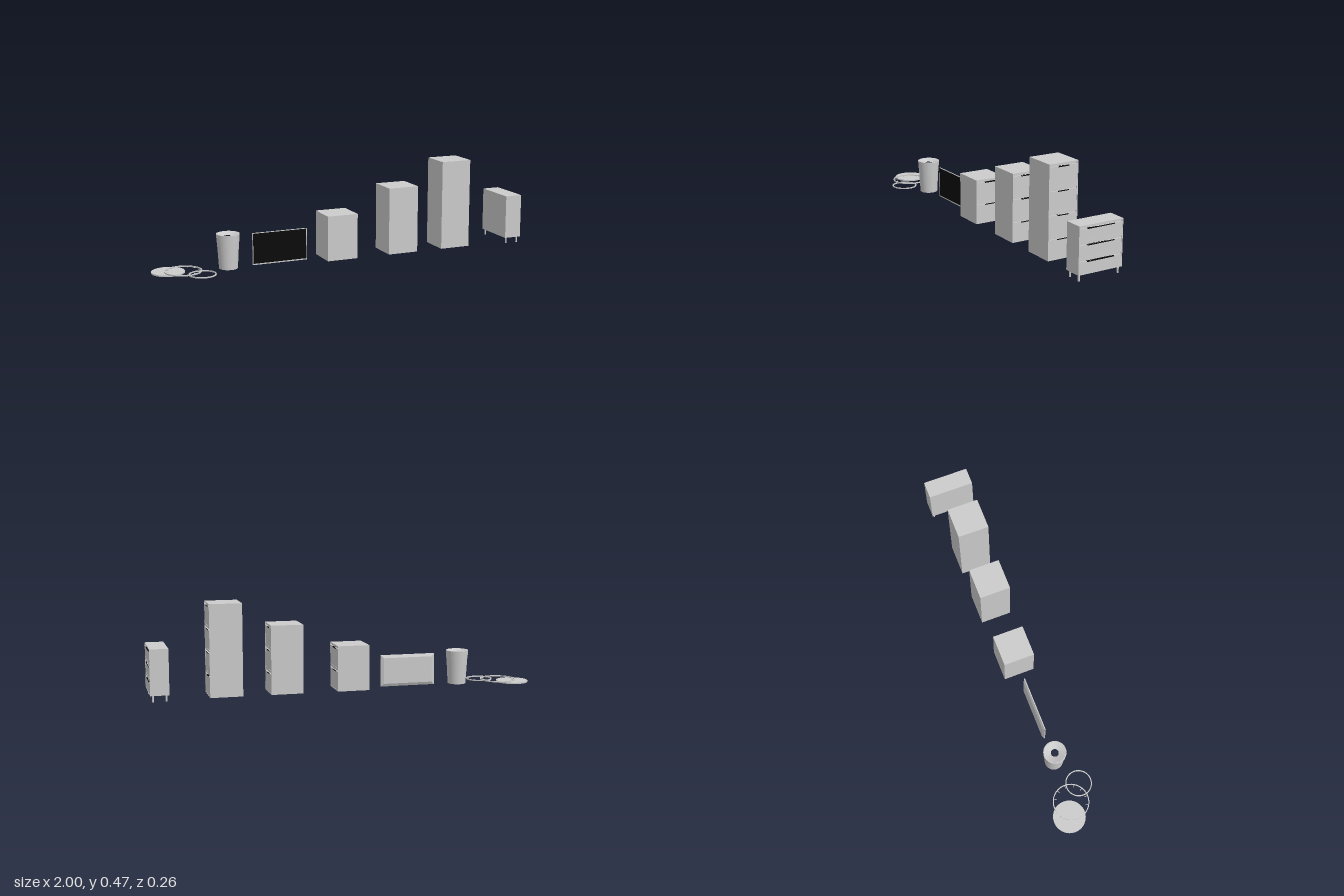
import * as THREE from 'three';

const grey = new THREE.MeshStandardMaterial({ color: 0xcccccc });
const black = new THREE.MeshStandardMaterial({ color: 0x0a0a0a });

function add(parent, name, geometry, x = 0, y = 0, z = 0, material = grey) {
  const mesh = new THREE.Mesh(geometry, material);
  mesh.name = name;
  mesh.position.set(x, y, z);
  parent.add(mesh);
  return mesh;
}

// Box given by its minimum and maximum corners
function block(parent, name, a, b, material = grey) {
  const size = b.map((v, i) => v - a[i]);
  const mid = b.map((v, i) => (v + a[i]) / 2);
  return add(parent, name, new THREE.BoxGeometry(...size), ...mid, material);
}

function rectangle(Type, x0, y0, x1, y1) {
  const p = new Type();
  p.moveTo(x0, y0).lineTo(x1, y0).lineTo(x1, y1).lineTo(x0, y1).closePath();
  return p;
}

// Drawer unit whose drawers face +x
function drawerUnit(name, o) {
  const g = new THREE.Group();
  g.name = name;
  const { x0, x1, z0, z1, y0, y1 } = o;
  const depth = 0.008, m = 0.005, xf = x1 - depth, mid = (z0 + z1) / 2;
  const floor = y0 + (o.skirt || 0);
  block(g, 'body', [x0, floor, z0], [xf, y1, z1]);
  if (o.skirt) {
    // Low walls around the recessed underside
    block(g, 'leftSkirt', [x0, y0, z1 - m], [xf, floor, z1]);
    block(g, 'rightSkirt', [x0, y0, z0], [xf, floor, z0 + m]);
    block(g, 'backSkirt', [x0, y0, z0 + m], [x0 + m, floor, z1 - m]);
  }
  // Face frame with one opening per drawer
  const frame = rectangle(THREE.Shape, -z1, y0, -z0, y1);
  for (let i = 0; i < o.count; i++) {
    const b = o.first + i * o.pitch, t = b + o.drawer;
    frame.holes.push(rectangle(THREE.Path, -z1 + m, b, -z0 - m, t));
    // Drawer front stops short of the opening, leaving a finger gap above it
    block(g, 'drawerFront', [xf, b, z0 + m], [x1 - 0.001, t - 0.009, z1 - m]);
    block(g, 'handle', [xf, t - 0.014, mid - o.handle / 2], [x1 - 0.0004, t - 0.009, mid + o.handle / 2], black);
  }
  const geo = new THREE.ExtrudeGeometry(frame, { depth, bevelEnabled: false });
  add(g, 'faceFrame', geo.rotateY(Math.PI / 2), xf);
  return g;
}

function chest() {
  const g = drawerUnit('chestOfDrawers', {
    x0: 0.907, x1: 1, z0: -0.13, z1: 0.111, y0: 0.032, y1: 0.261,
    count: 3, first: 0.036, pitch: 0.077, drawer: 0.066, handle: 0.15,
  });
  for (const x of [0.92, 0.986])
    for (const z of [-0.118, 0.098])
      add(g, 'leg', new THREE.CylinderGeometry(0.0048, 0.0048, 0.034, 16), x, 0.017, z);
  return g;
}

// Flat screen with a bevelled back
function screen() {
  const g = new THREE.Group();
  g.name = 'flatScreen';
  const w = 0.292, h = 0.165;
  const back = new THREE.BoxGeometry(w, h, 0.008).toNonIndexed();
  const p = back.attributes.position;
  for (let i = 0; i < p.count; i++)
    if (p.getZ(i) < 0) p.setXY(i, p.getX(i) * (1 - 0.03 / w), p.getY(i) * (1 - 0.03 / h));
  back.computeVertexNormals();
  add(g, 'backShell', back, 0, h / 2, -0.004);
  const bezel = rectangle(THREE.Shape, -w / 2, 0, w / 2, h);
  bezel.holes.push(rectangle(THREE.Path, -w / 2 + 0.003, 0.006, w / 2 - 0.003, h - 0.003));
  add(g, 'bezel', new THREE.ExtrudeGeometry(bezel, { depth: 0.005, bevelEnabled: false }));
  block(g, 'panel', [-w / 2 + 0.003, 0.006, 0], [w / 2 - 0.003, h - 0.003, 0.004], black);
  g.position.set(-0.343, 0, -0.016);
  return g;
}

function lathe(points, segments = 48) {
  return new THREE.LatheGeometry(points.map(q => new THREE.Vector2(...q)), segments);
}

// Waste bin with a dished lid and a round opening
function bin() {
  const g = new THREE.Group();
  g.name = 'wasteBin';
  add(g, 'bucket', lathe([[0.047, 0], [0.055, 0.135]]));
  add(g, 'base', new THREE.CircleGeometry(0.047, 48).rotateX(Math.PI / 2));
  add(g, 'collar', lathe([[0.0545, 0.135], [0.0562, 0.135]]));
  add(g, 'collarWall', lathe([[0.0562, 0.135], [0.0585, 0.176]]));
  add(g, 'rim', lathe([[0.0585, 0.176], [0.055, 0.177]]));
  add(g, 'lid', lathe([[0.055, 0.177], [0.02, 0.163]]));
  g.position.set(-0.617, 0, -0.013);
  return g;
}

function ring(outer, inner, height) {
  const s = new THREE.Shape().absarc(0, 0, outer, 0, Math.PI * 2);
  s.holes.push(new THREE.Path().absarc(0, 0, inner, 0, Math.PI * 2, true));
  return new THREE.ExtrudeGeometry(s, { depth: height, bevelEnabled: false, curveSegments: 48 }).rotateX(-Math.PI / 2);
}

// Loose round pieces: plate, hour ring and plain ring
function rounds() {
  const g = new THREE.Group();
  g.name = 'roundPieces';
  add(g, 'plate', new THREE.CylinderGeometry(0.083, 0.083, 0.007, 48), -0.917, 0.0035, -0.047);
  add(g, 'plainRing', ring(0.068, 0.063, 0.006), -0.773, 0, 0.062);
  const hours = new THREE.Group();
  hours.name = 'hourRing';
  add(hours, 'hoop', ring(0.093, 0.088, 0.006));
  for (let i = 0; i < 12; i++) {
    const a = i * Math.PI / 6, r = 0.082;
    const tick = add(hours, 'tick', new THREE.BoxGeometry(0.014, 0.003, 0.003), r * Math.cos(a), 0.003, r * Math.sin(a));
    tick.rotation.y = -a;
  }
  hours.position.set(-0.85, 0.007, -0.011);
  g.add(hours);
  return g;
}

export function createModel() {
  const model = new THREE.Group();
  model.name = 'officeSet';
  model.add(rounds(), bin(), screen(), chest());
  // Filing cabinets with two, three and four drawers
  [[2, -0.114], [3, 0.23], [4, 0.538]].forEach(([count, x0]) => {
    model.add(drawerUnit('filingCabinet', {
      x0, x1: x0 + 0.165, z0: -0.091, z1: 0.071, y0: 0, y1: count * 0.117 - 0.001,
      count, first: 0.004, pitch: 0.117, drawer: 0.106, handle: 0.061, skirt: 0.008,
    }));
  });
  return model;
}
